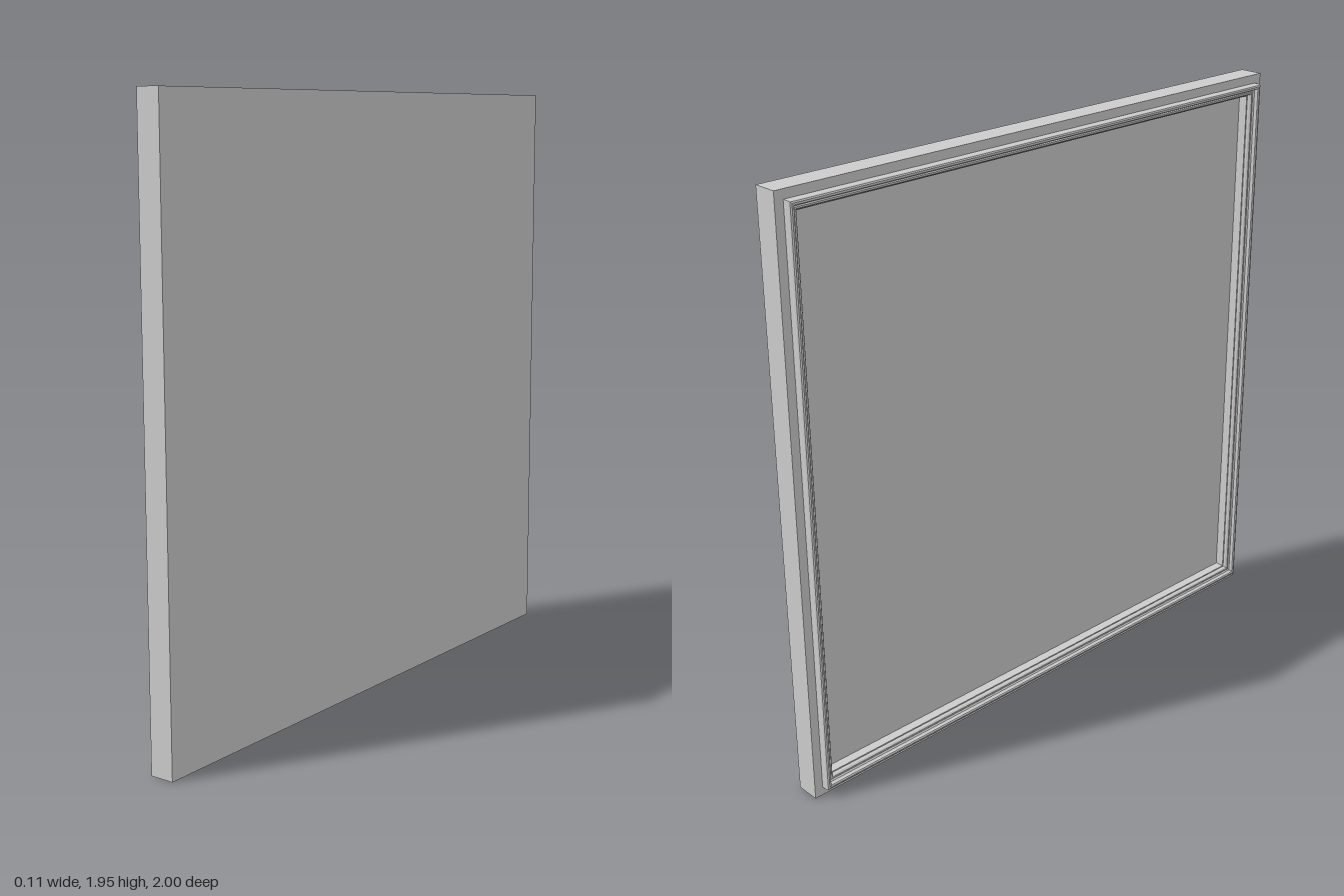
import * as THREE from 'three';

const W = 2, H = 1.945;             // panel size along z and y
const BACK = -0.025, FACE = 0.055;  // rim and outer face along x
const FLOOR = 0.006, LIP = 0.067;   // recessed inner floor and rim width
const material = new THREE.MeshStandardMaterial({ color: 0xcccccc, flatShading: true });

// Sweep an [inset, x] profile around the panel's edge with mitred corners
function sweepFrame(name, profile) {
  const corners = [[1, 1], [-1, 1], [-1, -1], [1, -1]];
  const position = [], index = [];
  profile.forEach(([inset, x], j) => {
    corners.forEach(([sz, sy], i) => {
      position.push(x, H / 2 + sy * (H / 2 - inset), sz * (W / 2 - inset));
      if (j === profile.length - 1) return;
      const a = j * 4 + i, b = j * 4 + (i + 1) % 4;
      index.push(a, b, b + 4, a, b + 4, a + 4);
    });
  });
  const geometry = new THREE.BufferGeometry();
  geometry.setAttribute('position', new THREE.Float32BufferAttribute(position, 3));
  geometry.setIndex(index);
  geometry.computeVertexNormals();
  const mesh = new THREE.Mesh(geometry, material);
  mesh.name = name;
  return mesh;
}

export function createModel() {
  const model = new THREE.Group();
  model.name = 'doorPanel';

  // Outer slab, its inner side forming the recessed floor
  const slab = new THREE.Mesh(new THREE.BoxGeometry(FACE - FLOOR, H, W), material);
  slab.name = 'slab';
  slab.position.set((FACE + FLOOR) / 2, H / 2, 0);
  model.add(slab);

  // Raised rim around the recess
  model.add(sweepFrame('rim', [[0, FLOOR], [0, BACK], [LIP, BACK], [LIP, FLOOR]]));

  // Sealing gasket: tall rounded outer bead, groove, lower inner ridge
  model.add(sweepFrame('gasket', [
    [0.029, BACK], [0.029, -0.047], [0.031, -0.052], [0.035, -0.055],
    [0.039, -0.055], [0.043, -0.052], [0.045, -0.04], [0.05, -0.036],
    [0.053, -0.039], [0.058, -0.039], [0.062, -0.034], [0.063, BACK],
  ]));

  return model;
}
